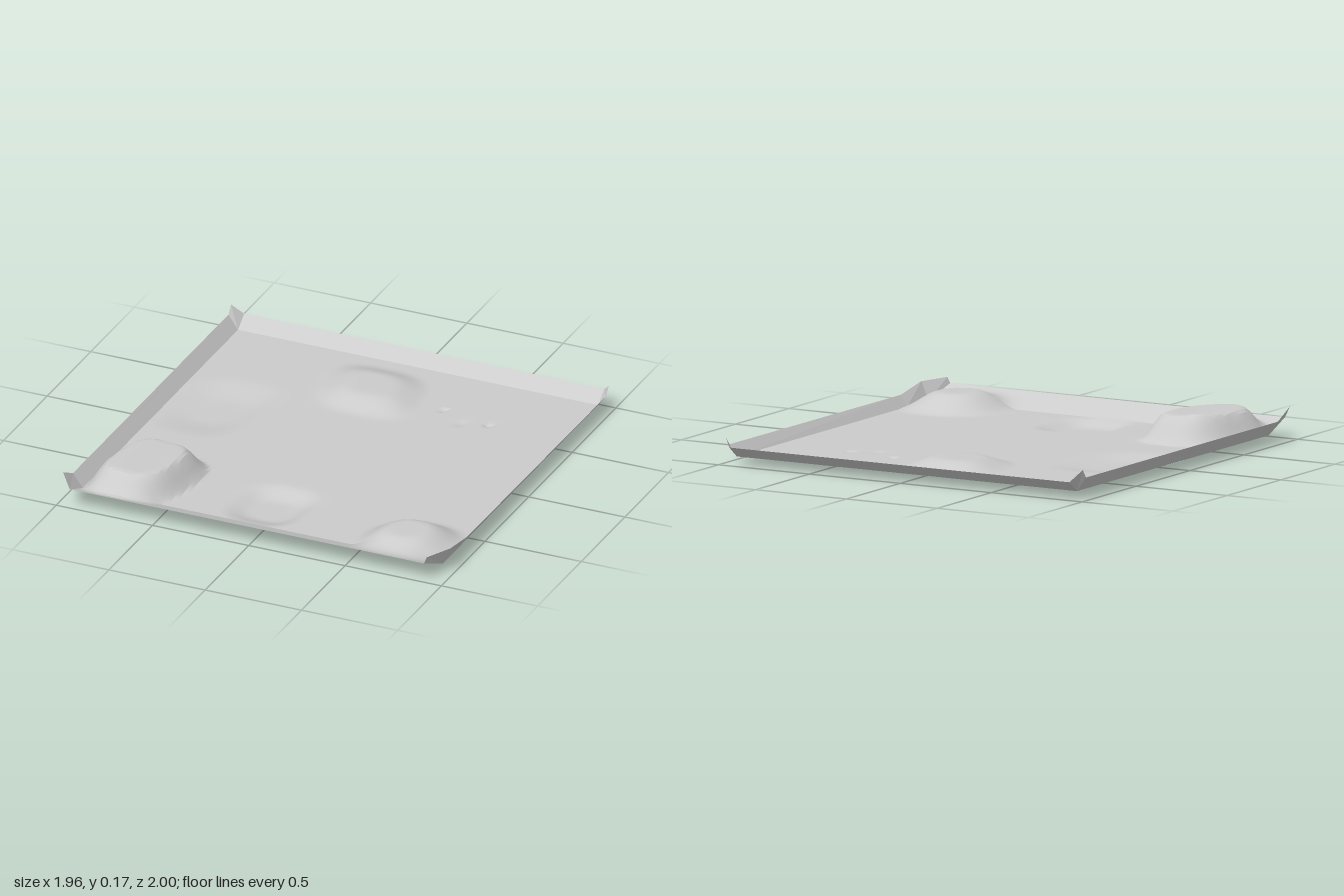
import * as THREE from 'three';
import { toCreasedNormals } from 'three/addons/utils/BufferGeometryUtils.js';

const FLOOR = 0.035;
const lerp = THREE.MathUtils.lerp;

// Mounds and hollows: centre, radii, level of the flat middle,
// inner = size of the flat middle, p = squareness, shear = slant of the outline
const features = [
  { x: -0.69, z: 0.66, rx: 0.235, rz: 0.315, level: 0.162, inner: 0.56, p: 2.8, shear: 0.18 },
  { x: 0.71, z: 0.74, rx: 0.26, rz: 0.26, level: 0.12, inner: 0.3, p: 2.3, shear: 0.15 },
  { x: -0.09, z: -0.61, rx: 0.28, rz: 0.26, level: 0.08, inner: 0.35, p: 3, shear: -0.15 },
  { x: -0.69, z: -0.16, rx: 0.25, rz: 0.33, level: 0.012, inner: 0.3, p: 3, shear: 0.15 },
  { x: -0.04, z: 0.64, rx: 0.21, rz: 0.22, level: 0, inner: 0.4, p: 3, shear: 0.1 },
  { x: 0.295, z: -0.58, rx: 0.03, rz: 0.03, level: 0.022, inner: 0, p: 2, shear: 0 },
  { x: 0.55, z: -0.53, rx: 0.03, rz: 0.03, level: 0.022, inner: 0, p: 2, shear: 0 },
  { x: 0.425, z: -0.49, rx: 0.04, rz: 0.05, level: 0.027, inner: 0, p: 2, shear: 0 },
];

// Flat ground turned up along the back and front edges
function baseHeight(z) {
  if (z > 0.85) return lerp(FLOOR, 0.1, (z - 0.85) / 0.15);
  if (z < -0.93) return lerp(FLOOR, 0.088, (-0.93 - z) / 0.07);
  return FLOOR;
}

function height(x, z) {
  let y = baseHeight(z);
  for (const f of features) {
    const dz = z - f.z;
    const u = Math.abs((x - f.x + f.shear * dz) / f.rx);
    const v = Math.abs(dz / f.rz);
    const d = Math.pow(u ** f.p + v ** f.p, 1 / f.p);
    const w = 1 - THREE.MathUtils.smoothstep(d, f.inner, 1);
    // a gentle crown on the tall mound
    const crown = f.level > 0.15 ? 0.01 * Math.exp(-(((x + 0.75) / 0.07) ** 2)) : 0;
    y = lerp(y, f.level + crown, w);
  }
  return y;
}

// Rows of the ground line up with the folds of the edges
function rowZ(i) {
  if (i === 0) return -1;
  if (i <= 90) return lerp(-0.93, 0.85, (i - 1) / 89);
  return lerp(0.85, 1, (i - 90) / 8);
}

function rightEdge(z) {
  return z > 0.85 ? lerp(0.94, 0.91, (z - 0.85) / 0.15) : 0.94;
}

// Strip of quads between an inner and an outer line
function rim(name, inner, outer, material) {
  const pos = [];
  for (let i = 0; i + 1 < inner.length; i++) {
    const [a, b, c, d] = [inner[i], inner[i + 1], outer[i + 1], outer[i]];
    pos.push(...a, ...b, ...c, ...a, ...c, ...d);
  }
  const g = new THREE.BufferGeometry();
  g.setAttribute('position', new THREE.Float32BufferAttribute(pos, 3));
  g.computeVertexNormals();
  const mesh = new THREE.Mesh(g, material);
  mesh.name = name;
  return mesh;
}

export function createModel() {
  const group = new THREE.Group();
  group.name = 'terrainTile';
  const material = new THREE.MeshStandardMaterial({ color: 0xcccccc, side: THREE.DoubleSide });

  // Ground sheet with mounds and hollows
  const cols = 94, rows = 98;
  const plane = new THREE.PlaneGeometry(1, 1, cols, rows).rotateX(-Math.PI / 2);
  const p = plane.attributes.position;
  for (let r = 0; r <= rows; r++) {
    for (let c = 0; c <= cols; c++) {
      const z = rowZ(r);
      const x = lerp(-0.93, rightEdge(z), c / cols);
      p.setXYZ(r * (cols + 1) + c, x, height(x, z), z);
    }
  }
  const ground = new THREE.Mesh(toCreasedNormals(plane, 0.3), material);
  ground.name = 'ground';
  group.add(ground);

  // Turned-up right-hand rim of the tile, with raised corners
  group.add(rim('rightRim',
    [[-0.93, 0.088, -1], [-0.93, FLOOR, -0.93], [-0.93, FLOOR, 0.85], [-0.93, 0.1, 1]].reverse(),
    [[-0.98, 0.145, -0.96], [-0.98, 0.105, -0.93], [-0.98, 0.105, 0.85], [-0.98, 0.163, 0.965]].reverse(),
    material));

  // Left-hand rim, pinched at the front corner
  group.add(rim('leftRim',
    [[0.94, 0.088, -1], [0.94, FLOOR, -0.93], [0.94, FLOOR, 0.65], [0.94, FLOOR, 0.85], [0.91, 0.1, 1]],
    [[0.98, 0.13, -0.965], [0.98, 0.09, -0.93], [0.975, 0.09, 0.65], [0.98, 0.125, 0.85], [0.92, 0.13, 0.99]],
    material));

  return group;
}
